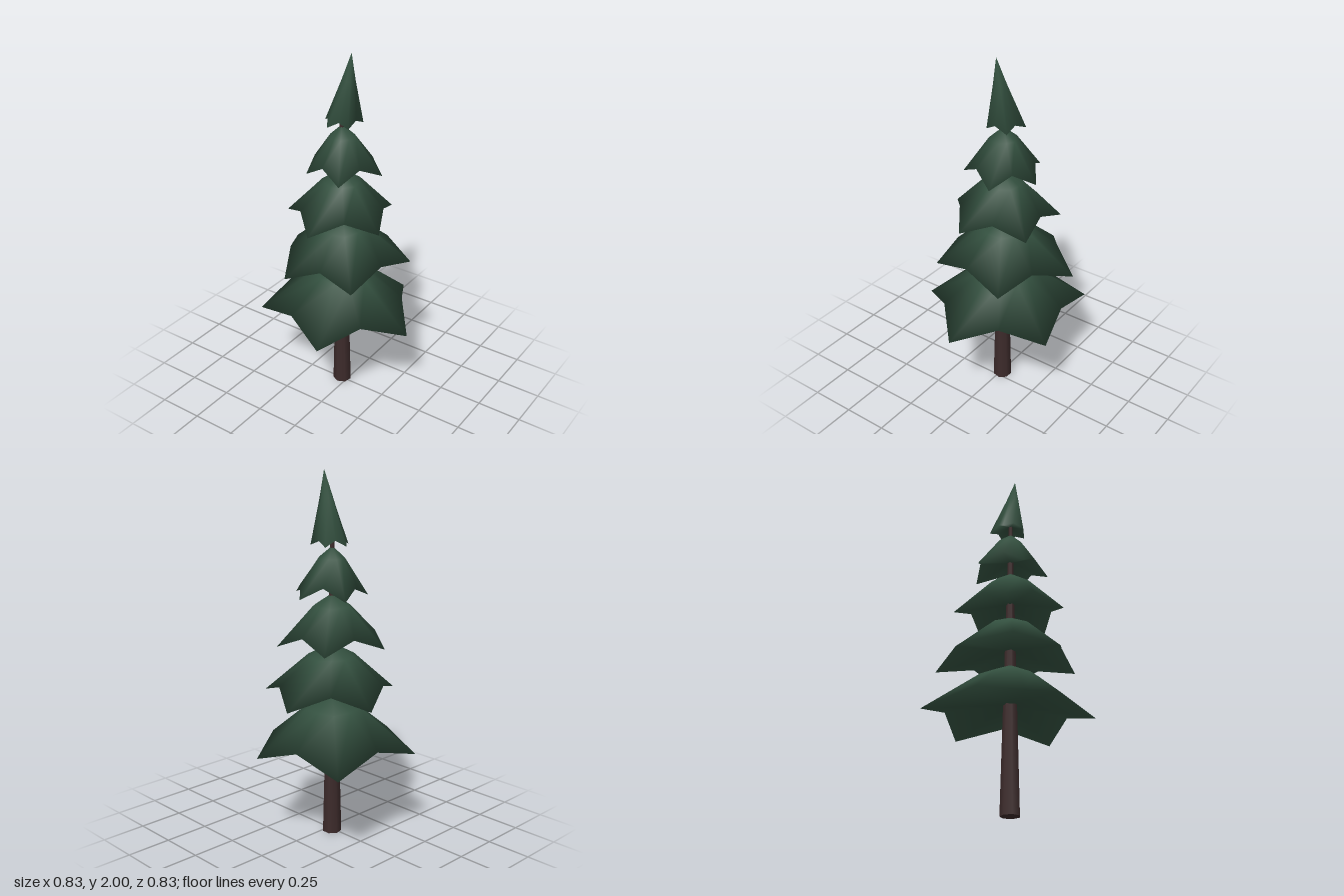
import * as THREE from 'three';

const CX = -0.035, CZ = -0.01; // trunk axis

// A drooping five-pointed skirt: apex, shoulder ring, star rim, closed underside.
function boughGeometry({ top, drop, tips, apexX = CX, shoulder = 0.24, hollow = 0.7 }) {
  const pos = [apexX, top, CZ], index = [];
  const rim = [];
  tips.forEach(([deg, r], i) => {
    const [nextDeg, nextR] = tips[(i + 1) % tips.length];
    const end = nextDeg < deg ? nextDeg + 360 : nextDeg;
    rim.push([deg, r, 1], [(deg + end) / 2, (r + nextR) / 2 * 0.76, 0.76]);
  });
  const n = rim.length;
  const addRing = (radius, fall) => rim.forEach((p) => {
    const a = THREE.MathUtils.degToRad(p[0]), f = fall(p), r = radius(p);
    const x = THREE.MathUtils.lerp(apexX, CX, f);
    pos.push(x + Math.cos(a) * r, top - drop * f, CZ + Math.sin(a) * r);
  });
  addRing((p) => p[1] * (p[2] < 1 ? 0.42 : 0.35), () => shoulder);
  addRing((p) => p[1], (p) => (hollow > 0.8 ? 0.92 + (p[2] - 0.76) / 3 : p[2]));
  pos.push(CX, top - drop * hollow, CZ);
  const under = 1 + 2 * n;
  for (let i = 0; i < n; i++) {
    const j = (i + 1) % n, a = 1 + i, b = 1 + j, c = a + n, d = b + n;
    index.push(0, b, a, a, b, d, a, d, c, under, c, d);
  }
  const geo = new THREE.BufferGeometry();
  geo.setAttribute('position', new THREE.Float32BufferAttribute(pos, 3));
  geo.setIndex(index);
  geo.computeVertexNormals();
  return geo;
}

export function createModel() {
  const tree = new THREE.Group();
  tree.name = 'pineTree';
  const needles = new THREE.MeshStandardMaterial({ color: 0x33503f });
  needles.name = 'needleGreen';
  const bark = new THREE.MeshStandardMaterial({ color: 0x3d2b2b });
  bark.name = 'barkBrown';

  // Tapered trunk
  const trunk = new THREE.Mesh(new THREE.CylinderGeometry(0.01, 0.053, 1.7, 7), bark);
  trunk.name = 'trunk';
  trunk.position.set(CX, 0.85, CZ);
  tree.add(trunk);

  // Bough tiers, bottom to top; tips are [angle in degrees, radius]
  const tiers = [
    { top: 0.81, drop: 0.32, tips: [[4, 0.45], [73, 0.44], [146, 0.46], [221, 0.49], [292, 0.435]] },
    { top: 1.09, drop: 0.285, tips: [[48, 0.365], [112, 0.368], [193.5, 0.386], [258, 0.414], [328, 0.377]] },
    { top: 1.36, drop: 0.275, tips: [[15, 0.295], [90, 0.31], [160, 0.304], [231.5, 0.313], [301, 0.3]] },
    { top: 1.61, drop: 0.26, tips: [[60, 0.208], [133, 0.19], [207, 0.224], [274, 0.22], [343, 0.22]] },
    // Leaning crown
    { top: 2, drop: 0.385, apexX: 0.025, shoulder: 0.38, hollow: 0.88,
      tips: [[34, 0.09], [108, 0.095], [180, 0.105], [242, 0.118], [315, 0.113]] },
  ];
  tiers.forEach((tier, i) => {
    const mesh = new THREE.Mesh(boughGeometry(tier), needles);
    mesh.name = i === tiers.length - 1 ? 'crown' : `boughTier${i + 1}`;
    tree.add(mesh);
  });
  return tree;
}
